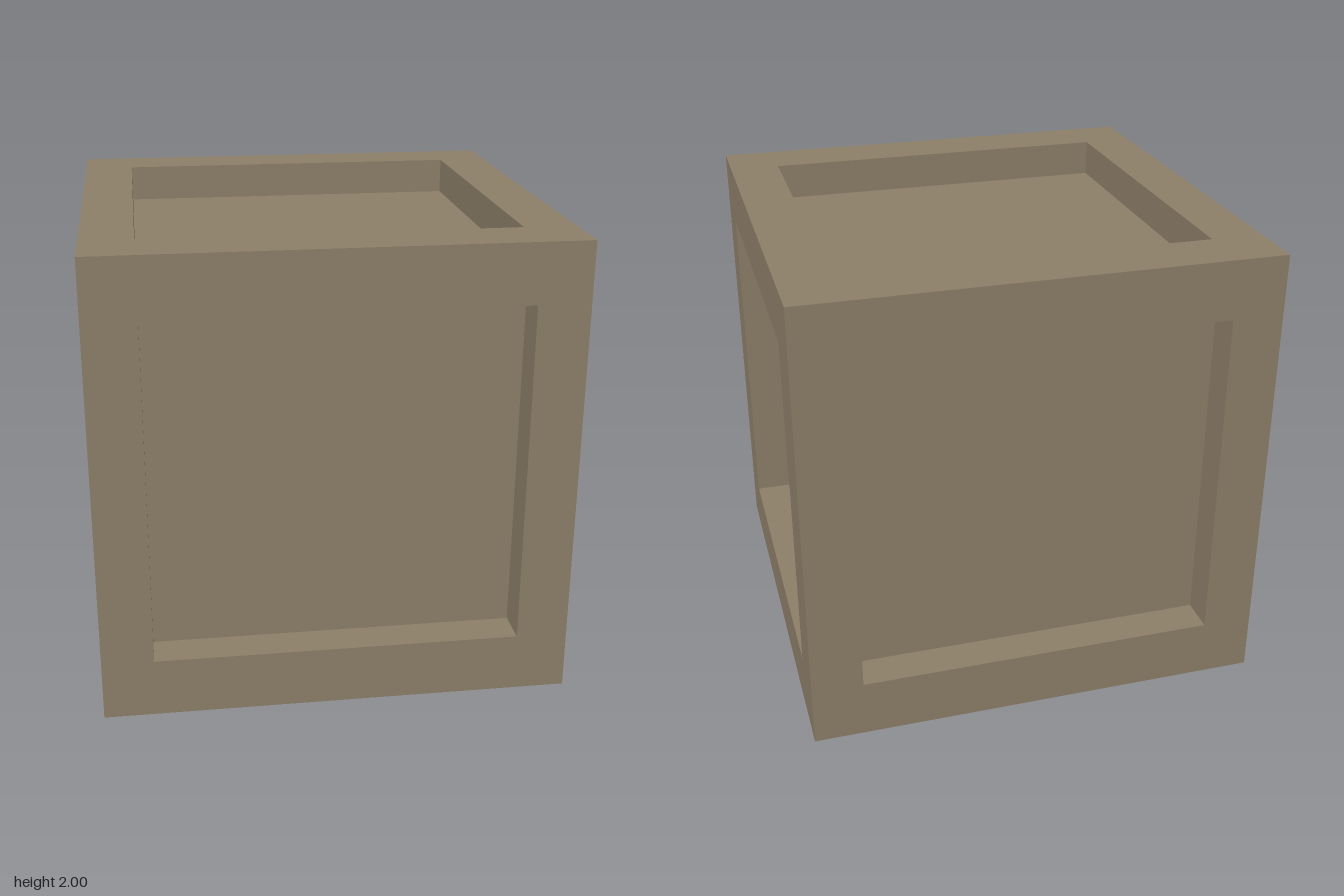
import * as THREE from 'three';

const DEPTH = 0.16;

// Four corners of a rectangle, counter-clockwise seen from outside
const loop = (hx, hy, z) => [[-hx, -hy, z], [hx, -hy, z], [hx, hy, z], [-hx, hy, z]];

// Flat rim around the opening plus the four inner walls down to the panel
function frameGeometry(hx, hy) {
  const loops = [loop(1, 1, 1), loop(hx, hy, 1), loop(hx, hy, 1 - DEPTH)];
  const points = [];
  for (let k = 0; k < 2; k++) {
    const [p, q] = [loops[k], loops[k + 1]];
    for (let i = 0; i < 4; i++) {
      const j = (i + 1) % 4;
      points.push(...p[i], ...p[j], ...q[j], ...p[i], ...q[j], ...q[i]);
    }
  }
  const geometry = new THREE.BufferGeometry();
  geometry.setAttribute('position', new THREE.Float32BufferAttribute(points, 3));
  geometry.computeVertexNormals();
  return geometry;
}

export function createModel() {
  const crate = new THREE.Group();
  crate.name = 'crate';
  const wood = new THREE.MeshStandardMaterial({ color: 0x8d7f69 });
  wood.name = 'wood';

  // Each side: name, turn about x, turn about y, half width and half height of the opening
  const q = Math.PI / 2;
  const sides = [
    ['front', 0, 0, 0.78, 0.745],
    ['back', 0, 2 * q, 0.78, 0.745],
    ['left', 0, q, 0.75, 0.745],
    ['right', 0, -q, 0.75, 0.745],
    ['top', -q, 0, 0.78, 0.75],
    ['bottom', q, 0, 0.78, 0.75],
  ];
  for (const [name, rx, ry, hx, hy] of sides) {
    const side = new THREE.Group();
    side.name = name + 'Side';

    const frame = new THREE.Mesh(frameGeometry(hx, hy), wood);
    frame.name = name + 'Frame';

    // Recessed panel
    const panel = new THREE.Mesh(new THREE.PlaneGeometry(2 * hx, 2 * hy), wood);
    panel.name = name + 'Panel';
    panel.position.z = 1 - DEPTH;

    side.add(frame, panel);
    side.rotation.set(rx, ry, 0);
    side.position.y = 1;
    crate.add(side);
  }
  return crate;
}
